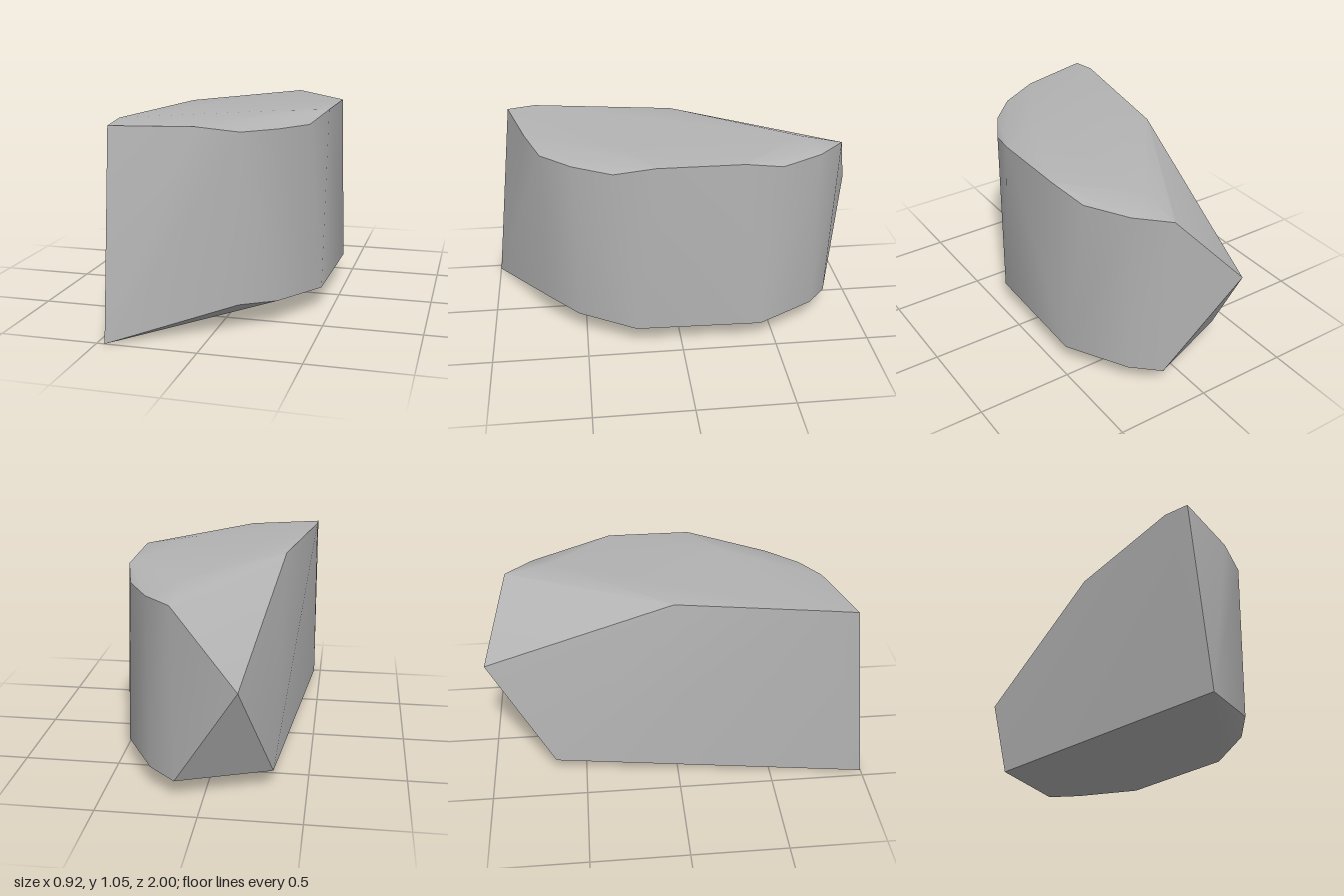
import * as THREE from 'three';
import { toCreasedNormals } from 'three/addons/utils/BufferGeometryUtils.js';
import { ConvexGeometry } from 'three/addons/geometries/ConvexGeometry.js';

export function createModel() {
  const model = new THREE.Group();
  const stone = new THREE.MeshStandardMaterial({ color: 0xb3b3b3 });
  stone.name = 'stoneGrey';

  // lower rim, from the front corner round the curved wall to the back
  const base = [
    [-0.46, 0, 1], [0.12, 0.145, 0.7], [0.28, 0.127, 0.54], [0.445, 0.115, 0.24],
    [0.455, 0.11, -0.42], [0.28, 0.11, -0.73], [0.14, 0.097, -0.84], [-0.33, 0.095, -0.66],
  ];
  // upper rim of the curved wall
  const rim = [
    [-0.46, 1.03, 0.88], [-0.07, 1.025, 0.78], [0.13, 0.995, 0.7], [0.28, 0.993, 0.54],
    [0.39, 0.99, 0.34], [0.45, 1.04, 0.13], [0.45, 1.04, -0.31],
    [0.4, 0.995, -0.51], [0.28, 0.998, -0.73], [0.14, 1, -0.875],
  ];
  // flat top, inside the worn rim
  const top = [[-0.46, 1.047, 0.73], [-0.33, 1.047, -0.02], [0.14, 1.047, -0.65], [0.2, 1.047, 0.3]];
  // pointed back corner
  const backPoint = [[-0.19, 0.64, -1]];

  const points = [...base, ...rim, ...top, ...backPoint].map((p) => new THREE.Vector3(...p));
  const block = new THREE.Mesh(toCreasedNormals(new ConvexGeometry(points), 0.7), stone);
  block.name = 'stoneBlock';
  model.add(block);
  return model;
}
